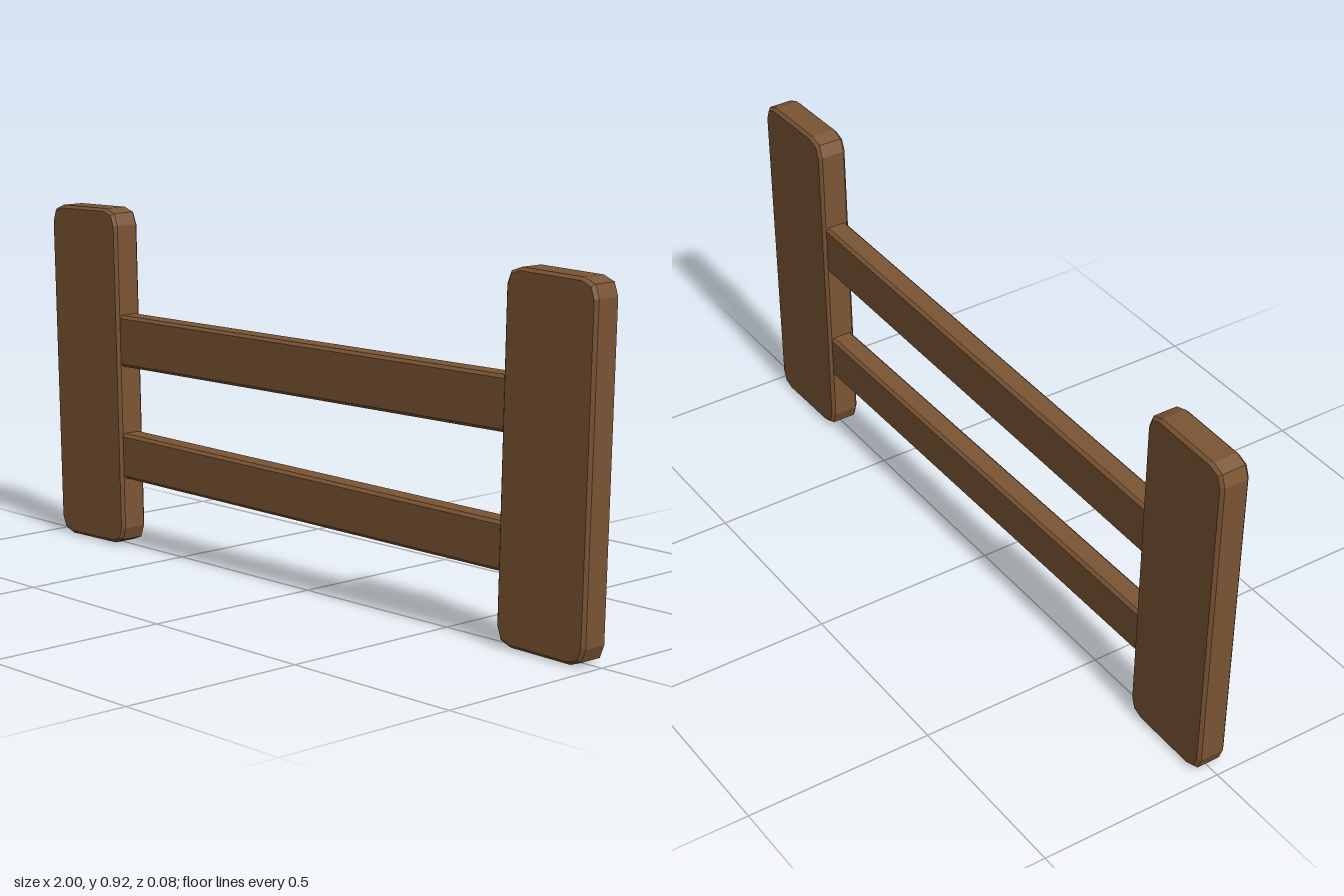
import * as THREE from 'three';

const BEVEL = 0.008;

// Plank from four corners (counter-clockwise), with clipped corners and chamfered edges
function plank(name, corners, depth, cut, material) {
  const pts = [];
  const c = corners.map(([x, y]) => new THREE.Vector2(x, y));
  c.forEach((p, i) => {
    if (!cut) return pts.push(p);
    const toward = (q) => q.clone().sub(p).normalize().multiplyScalar(cut);
    const a = toward(c[(i + 3) % 4]);
    const b = toward(c[(i + 1) % 4]);
    // two-step rounded corner
    pts.push(p.clone().add(a));
    pts.push(p.clone().addScaledVector(a, 0.27).addScaledVector(b, 0.27));
    pts.push(p.clone().add(b));
  });
  const geometry = new THREE.ExtrudeGeometry(new THREE.Shape(pts), {
    depth: depth - 2 * BEVEL,
    bevelEnabled: true,
    bevelThickness: BEVEL,
    bevelSize: BEVEL,
    bevelOffset: -BEVEL,
    bevelSegments: 1,
  });
  geometry.translate(0, 0, BEVEL - depth / 2);
  const mesh = new THREE.Mesh(geometry, material);
  mesh.name = name;
  return mesh;
}

export function createModel() {
  const group = new THREE.Group();
  group.name = 'fence';
  const wood = new THREE.MeshStandardMaterial({ color: 0x7b5534, flatShading: true });
  wood.name = 'brown wood';

  // Posts, slightly splayed towards the top
  group.add(
    plank('rightPost', [[-0.975, 0], [-0.7, 0.005], [-0.722, 0.925], [-1, 0.918]], 0.08, 0.045, wood),
    plank('leftPost', [[0.698, 0.005], [0.977, 0], [1, 0.905], [0.718, 0.912]], 0.08, 0.045, wood),
  );

  // Rails, slightly crooked, ends buried in the posts
  group.add(
    plank('upperRail', [[-0.78, 0.497], [0.78, 0.516], [0.78, 0.653], [-0.78, 0.637]], 0.064, 0, wood),
    plank('lowerRail', [[-0.78, 0.19], [0.78, 0.18], [0.78, 0.302], [-0.78, 0.314]], 0.064, 0, wood),
  );
  return group;
}
